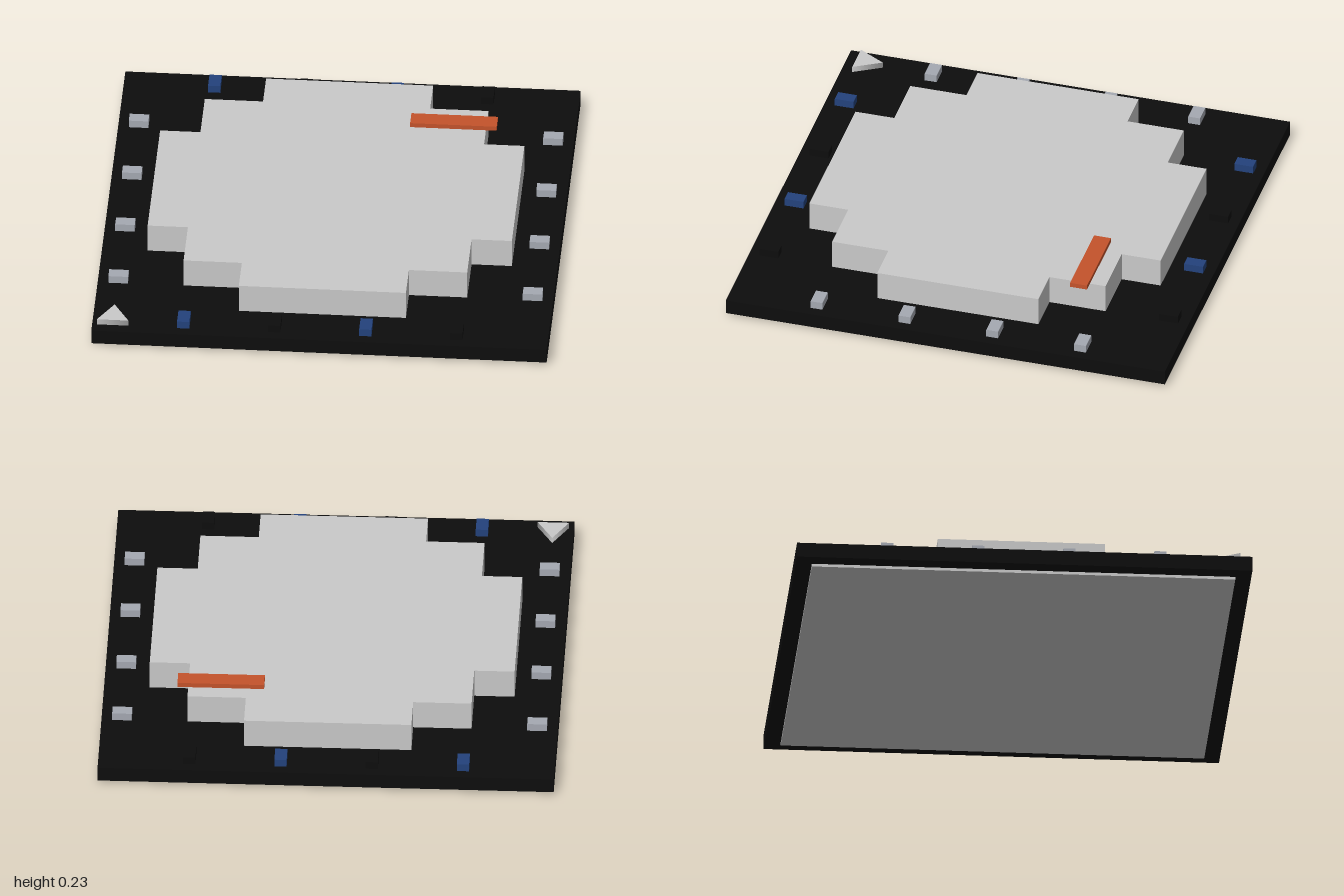
import * as THREE from 'three';

const mat = (name, color) => Object.assign(new THREE.MeshStandardMaterial({ color }), { name });

export function createModel() {
  const model = new THREE.Group();
  model.name = 'steppedBoard';
  const black = mat('black', 0x0d0d0d);
  const lightGrey = mat('light grey', 0xc9c9c9);
  const silver = mat('silver', 0xa5a9b2);
  const blue = mat('blue', 0x23427c);
  const orange = mat('orange', 0xc4532b);

  const add = (name, geometry, material, x, y, z) => {
    const mesh = new THREE.Mesh(geometry, material);
    mesh.name = name;
    mesh.position.set(x, y, z);
    model.add(mesh);
    return mesh;
  };
  // Box standing on height y0
  const box = (name, material, w, h, d, x, y0, z) =>
    add(name, new THREE.BoxGeometry(w, h, d), material, x, y0 + h / 2, z);

  // Board and the thin plate beneath it
  const top = 0.08;
  box('basePlate', lightGrey, 1.86, 0.013, 1.86, 0, 0, 0);
  box('board', black, 2, top - 0.013, 2, 0, 0.013, 0);

  // Raised block: one stepped corner outline, turned through four quarters
  const corner = [[0.8, -0.367], [0.8, 0.367], [0.623, 0.367], [0.623, 0.623], [0.367, 0.623]];
  const outline = [];
  for (let q = 0; q < 4; q++) {
    for (const [x, y] of corner) {
      outline.push(new THREE.Vector2(x, y).rotateAround(new THREE.Vector2(), q * Math.PI / 2));
    }
  }
  const block = new THREE.ExtrudeGeometry(new THREE.Shape(outline), { depth: 0.133, bevelEnabled: false });
  block.rotateX(-Math.PI / 2);
  add('steppedBlock', block, lightGrey, 0, top, 0);

  // Bar lying on the block
  box('bar', orange, 0.38, 0.021, 0.077, 0.48, 0.213, -0.513);

  // Small blocks along all four edges
  for (const side of [-1, 1]) {
    [-0.6, -0.2, 0.2, 0.6].forEach((p, i) => {
      box('sideBlock', silver, 0.086, 0.035, 0.054, side * 0.91, top, p);
      box('endBlock', i % 2 ? black : blue, 0.054, 0.035, 0.086, p, top, side * 0.91);
    });
  }

  // Triangular corner marker pointing to the back
  const marker = add('cornerMarker', new THREE.CylinderGeometry(0.08, 0.08, 0.027, 3), lightGrey, -0.91, top + 0.0135, 0.91);
  marker.rotation.y = Math.PI;

  return model;
}
